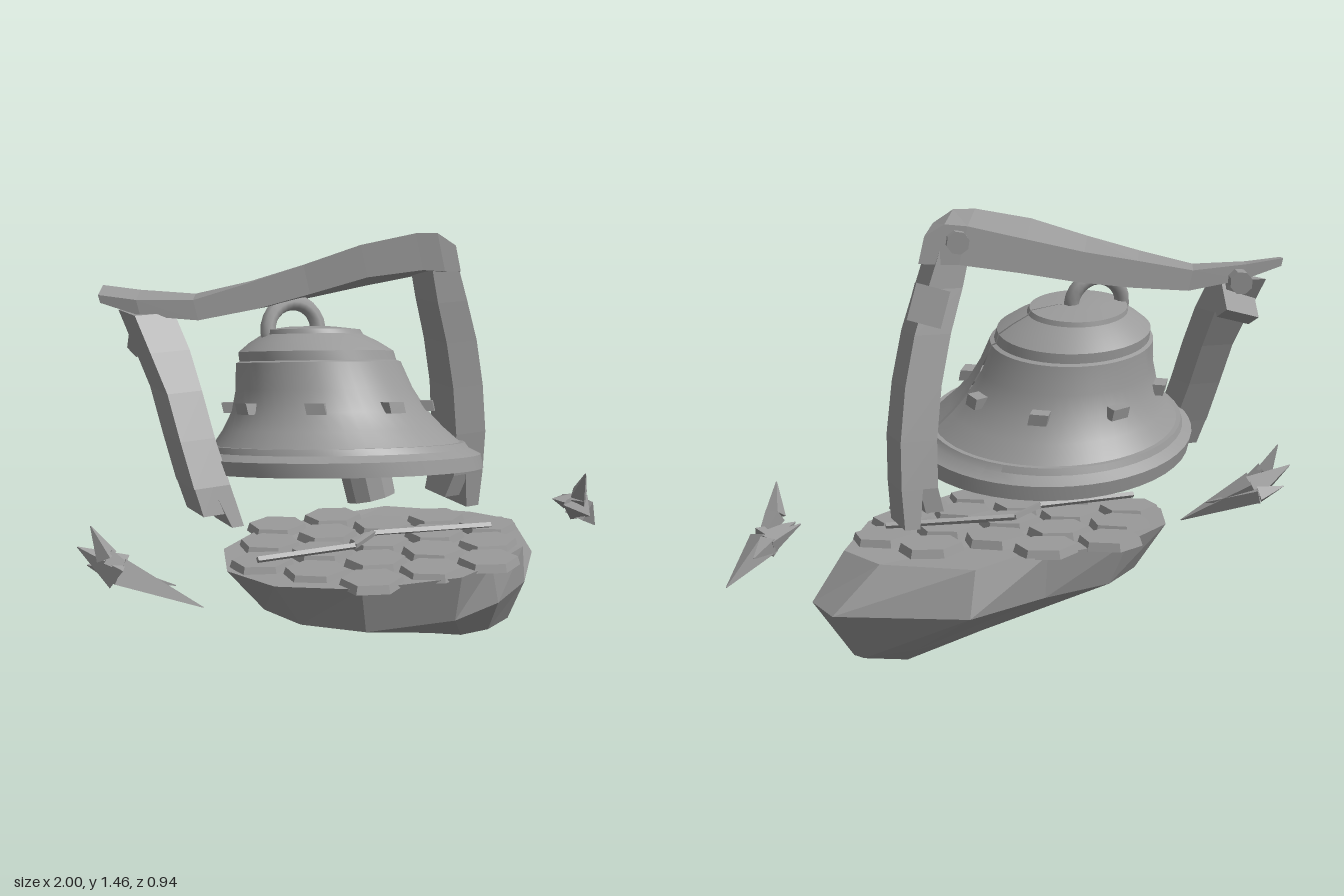
import * as THREE from 'three';
import { toCreasedNormals } from 'three/addons/utils/BufferGeometryUtils.js';

const stone = new THREE.MeshStandardMaterial({ color: 0x9a9a9a, side: THREE.DoubleSide });
stone.name = 'greyStone';
const V = (x, y, z) => new THREE.Vector3(x, y, z);

// Closed faceted skin through rings of equal point count
function loft(rings) {
  const pos = [];
  const tri = (...pts) => pts.forEach((p) => pos.push(...p));
  const n = rings[0].length;
  for (let i = 0; i < rings.length - 1; i++) {
    for (let j = 0; j < n; j++) {
      const k = (j + 1) % n;
      const a = rings[i][j], b = rings[i][k], c = rings[i + 1][k], d = rings[i + 1][j];
      tri(a, b, c);
      tri(a, c, d);
    }
  }
  const last = rings[rings.length - 1];
  for (let j = 1; j < n - 1; j++) {
    tri(rings[0][0], rings[0][j + 1], rings[0][j]);
    tri(last[0], last[j], last[j + 1]);
  }
  const g = new THREE.BufferGeometry();
  g.setAttribute('position', new THREE.Float32BufferAttribute(pos, 3));
  g.computeVertexNormals();
  return g;
}

// Upright timber from rows of [x, y, z, width, depth], bottom to top
const post = (rows) => loft(rows.map(([x, y, z, w, d]) =>
  [[1, 1], [1, -1], [-1, -1], [-1, 1]].map(([a, b]) => [x + a * w / 2, y, z + b * d / 2])));

// Rod, or tapered shape, between two points
function between(a, b, r0, r1, sides) {
  const dir = b.clone().sub(a);
  const g = new THREE.CylinderGeometry(r1, r0, dir.length(), sides);
  g.applyQuaternion(new THREE.Quaternion().setFromUnitVectors(V(0, 1, 0), dir.normalize()));
  const m = a.clone().add(b).multiplyScalar(0.5);
  return toCreasedNormals(g.translate(m.x, m.y, m.z), 0.6);
}

export function createModel() {
  const root = new THREE.Group();
  root.name = 'ruinedBellShrine';
  const add = (geo, name, parent = root) => {
    const m = new THREE.Mesh(geo, stone);
    m.name = name;
    parent.add(m);
    return m;
  };
  const block = (name, size, p, rot) => {
    const m = add(new THREE.BoxGeometry(...size), name);
    m.position.set(...p);
    m.rotation.set(...rot);
  };

  // Floating rock: rings from the low tip up to the flat top
  const tip = [0.42, 0, -0.07];
  const low = [[0.1, 0.11, -0.07], [0.1, 0.1, 0.03], [0.16, 0.1, 0.12], [0.26, 0.09, 0.17], [0.4, 0.07, 0.13], [0.54, 0.06, 0.05],
    [0.6, 0.04, -0.07], [0.59, 0.06, -0.16], [0.43, 0.08, -0.2], [0.3, 0.1, -0.2], [0.2, 0.11, -0.18], [0.14, 0.11, -0.14]];
  const mid = [[-0.4, 0.25, 0], [-0.36, 0.25, 0.18], [-0.2, 0.24, 0.32], [0.1, 0.24, 0.375], [0.3, 0.25, 0.33], [0.5, 0.25, 0.2],
    [0.735, 0.24, -0.08], [0.71, 0.24, -0.24], [0.33, 0.25, -0.445], [0.05, 0.26, -0.36], [-0.2, 0.26, -0.3], [-0.35, 0.26, -0.17]];
  const top = [[-0.53, 0.405, 0], [-0.47, 0.41, 0.22], [-0.25, 0.41, 0.38], [0.08, 0.41, 0.44], [0.25, 0.4, 0.36], [0.46, 0.395, 0.24],
    [0.62, 0.39, -0.05], [0.55, 0.385, -0.22], [0.3, 0.395, -0.41], [0.05, 0.405, -0.38], [-0.25, 0.41, -0.34], [-0.45, 0.41, -0.2]];
  add(loft([top.map(() => tip), low, mid, top]), 'floatingRock');

  // Six-sided paving slabs in staggered rows, none on the broken back corner
  for (let r = -2; r <= 2; r++) {
    for (let c = -3; c <= 3; c++) {
      const x = 0.03 + c * 0.22 + (r % 2) * 0.11, z = 0.01 + r * 0.165;
      const outside = ((x - 0.02) / 0.5) ** 2 + (z / 0.4) ** 2 > 1;
      if (outside || (x > 0.1 && z < -0.2)) continue;
      const g = new THREE.CylinderGeometry(0.098, 0.107, 0.028, 6).scale(1.02, 1, 0.91);
      const slab = add(toCreasedNormals(g, 0.3), 'pavingSlab');
      slab.position.set(x, 0.414 - 0.025 * Math.max(0, x), z);
      slab.rotation.set(0, 0.15 * Math.sin(r * 5 + c * 3), -0.015);
    }
  }
  // Thin bent strip lying over the slabs
  const strip = [[-0.45, 0.448, 0.06], [-0.1, 0.44, 0.07], [0.03, 0.437, -0.03], [0.45, 0.425, 0.06]].map((p) => V(...p));
  for (let i = 0; i < 3; i++) add(between(strip[i], strip[i + 1], 0.011, 0.011, 4), 'groundStrip');

  // Leaning hollow bell
  const bell = new THREE.Group();
  bell.name = 'bell';
  root.add(bell);
  const lean = new THREE.Matrix4().makeBasis(V(1, -0.09, 0), V(-0.15, 1, -0.175), V(0, 0.18, 1)).setPosition(-0.107, 0.69, 0);
  const profile = [[0, 0.42], [0.15, 0.41], [0.215, 0.36], [0.25, 0.26], [0.31, 0.14], [0.39, 0.05], [0.43, 0], [0.465, 0], [0.465, 0.045],
    [0.43, 0.065], [0.42, 0.085], [0.405, 0.085], [0.36, 0.135], [0.317, 0.195], [0.288, 0.265], [0.268, 0.35], [0.255, 0.355],
    [0.252, 0.385], [0.21, 0.415], [0.165, 0.44], [0.16, 0.455], [0.08, 0.465], [0, 0.467]].map((p) => new THREE.Vector2(...p));
  const shell = new THREE.LatheGeometry(profile, 48, 1.46, Math.PI * 2 - 0.04);
  add(toCreasedNormals(shell.applyMatrix4(lean), 0.5), 'bellShell', bell);

  // Studs around the bell waist
  for (let i = 0; i < 8; i++) {
    const a = THREE.MathUtils.degToRad(10 + i * 45);
    const g = new THREE.BoxGeometry(0.06, 0.035, 0.07).translate(0, 0.205, 0.31).rotateY(a);
    add(g.applyMatrix4(lean), 'bellStud', bell);
  }
  // Upright hanging ring sunk into the crown
  const ring = add(new THREE.TorusGeometry(0.09, 0.026, 8, 24), 'hangingRing', bell);
  ring.position.set(-0.24, 1.15, -0.08);
  ring.rotation.x = -0.18;
  add(between(V(-0.16, 1.1, -0.06), V(-0.07, 0.72, 0.06), 0.025, 0.025, 8), 'clapperRod', bell);
  add(between(V(-0.065, 0.74, 0.06), V(-0.045, 0.605, 0.085), 0.085, 0.082, 10), 'clapper', bell);

  // Curved, twisting roof beam: [x, y, z, height, depth, roll]
  const beam = [[-0.81, 1.285, -0.275, 0.025, 0.13, -0.08], [-0.7, 1.255, -0.23, 0.05, 0.15, -0.05], [-0.53, 1.235, -0.18, 0.065, 0.15, 0.03],
    [-0.35, 1.265, -0.14, 0.085, 0.15, 0.12], [-0.18, 1.3, -0.1, 0.095, 0.15, 0.25], [0, 1.345, -0.05, 0.105, 0.16, 0.33],
    [0.18, 1.375, -0.005, 0.12, 0.17, 0.25], [0.25, 1.375, 0.015, 0.125, 0.17, 0.2], [0.31, 1.355, 0.025, 0.085, 0.16, 0.18]];
  add(loft(beam.map(([x, y, z, h, d, roll]) => [[1, 1], [-1, 1], [-1, -1], [1, -1]].map(([a, b]) =>
    [x - b * d * 0.25 - a * h * 0.12, y + a * h / 2 + b * d * roll / 2, z + b * d / 2]))), 'roofBeam');

  // Bowed posts with splintered feet
  add(post([[0.4, 0.6, -0.09, 0.12, 0.16], [0.395, 0.75, -0.07, 0.12, 0.16], [0.37, 0.92, -0.05, 0.12, 0.15],
    [0.33, 1.08, -0.03, 0.12, 0.145], [0.28, 1.22, -0.01, 0.115, 0.14], [0.24, 1.35, 0, 0.1, 0.14]]), 'leftPost');
  add(post([[0.43, 0.475, -0.105, 0.05, 0.16], [0.425, 0.6, -0.09, 0.07, 0.16]]), 'leftPostSplinter');
  add(post([[0.35, 0.52, -0.1, 0.06, 0.13], [0.37, 0.6, -0.09, 0.06, 0.16]]), 'leftPostSplinter');
  add(post([[-0.615, 0.72, 0.025, 0.12, 0.14], [-0.635, 0.86, -0.03, 0.115, 0.14], [-0.648, 1, -0.09, 0.115, 0.14],
    [-0.667, 1.12, -0.15, 0.13, 0.14], [-0.69, 1.23, -0.21, 0.13, 0.14]]), 'rightPost');
  add(post([[-0.62, 0.635, 0.05, 0.07, 0.13], [-0.643, 0.72, 0.025, 0.06, 0.14]]), 'rightPostSplinter');
  add(post([[-0.545, 0.59, 0.06, 0.04, 0.13], [-0.585, 0.72, 0.025, 0.06, 0.14]]), 'rightPostSplinter');

  // Pegs and tie plates at the joints
  add(between(V(0.22, 1.37, 0), V(0.25, 1.365, -0.12), 0.037, 0.037, 8), 'leftPeg');
  add(between(V(-0.68, 1.24, -0.2), V(-0.62, 1.23, -0.36), 0.037, 0.037, 8), 'rightPeg');
  block('leftTiePlate', [0.11, 0.12, 0.05], [0.34, 1.17, -0.085], [0.1, -0.2, 0.3]);
  block('rightTiePlate', [0.14, 0.1, 0.05], [-0.66, 1.15, -0.25], [0.6, 0.3, 0.1]);

  // Jagged drifting shards: [start, widest, end, radius]
  const shard = (name, [a, m, b, r]) => {
    add(between(V(...m), V(...a), r, 0.002, 4), name);
    add(between(V(...m), V(...b), r, 0.002, 4), name);
  };
  [[[-0.995, 0.54, -0.08], [-0.88, 0.455, -0.03], [-0.65, 0.33, 0.08], 0.06],
    [[-0.96, 0.61, -0.05], [-0.92, 0.51, -0.03], [-0.8, 0.42, 0.02], 0.035],
    [[-0.96, 0.47, -0.1], [-0.88, 0.44, -0.07], [-0.72, 0.4, 0.03], 0.035]].forEach((s) => shard('rightShard', s));
  [[[0.745, 0.46, 0.09], [0.86, 0.42, 0.03], [1, 0.31, -0.05], 0.055],
    [[0.79, 0.585, 0.15], [0.81, 0.49, 0.09], [0.9, 0.39, 0.01], 0.035],
    [[0.74, 0.47, 0.03], [0.86, 0.43, -0.03], [0.92, 0.41, -0.1], 0.035]].forEach((s) => shard('leftShard', s));

  return root;
}
